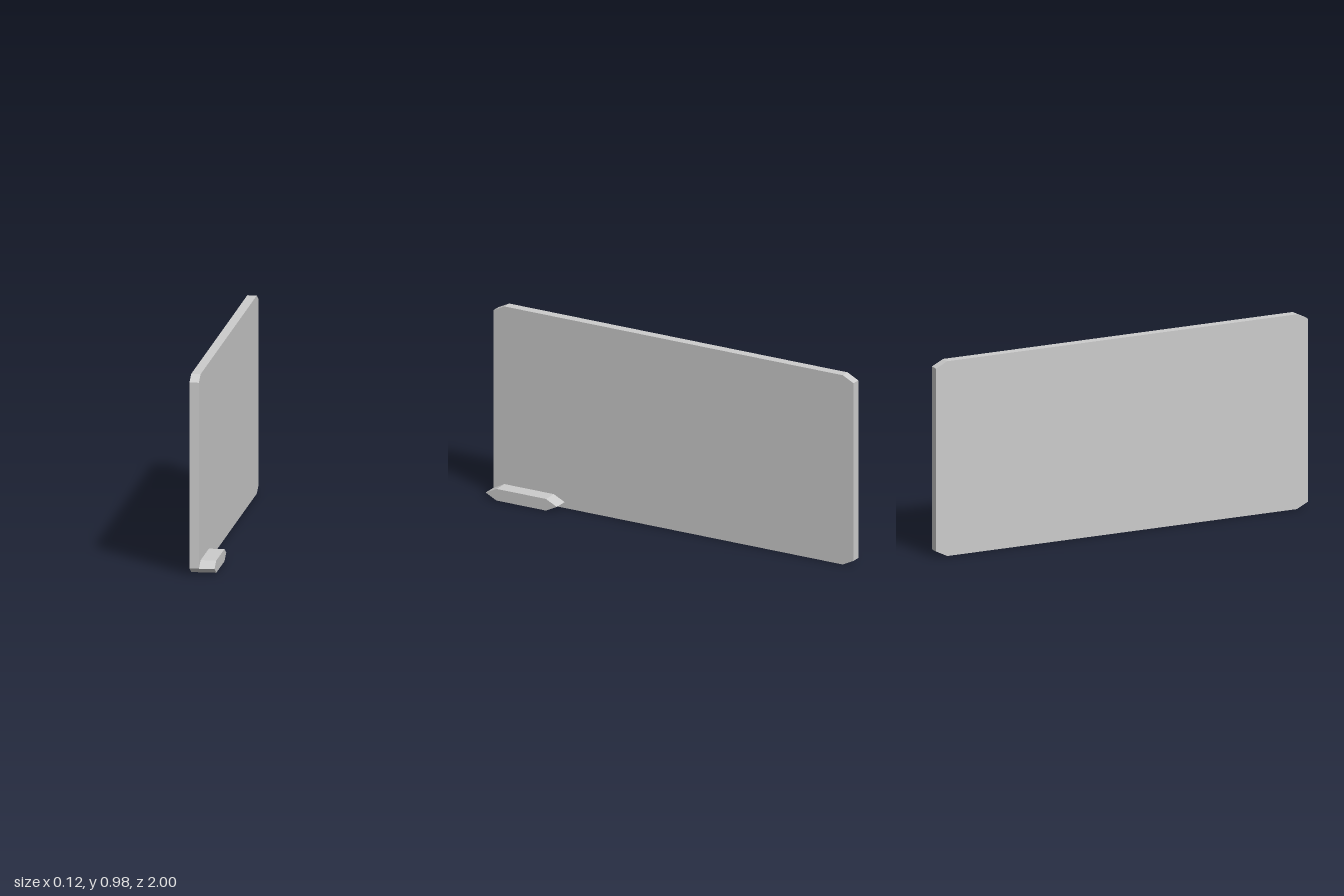
import * as THREE from 'three';

const material = new THREE.MeshStandardMaterial({ color: 0xcccccc, flatShading: true });

// Slab with four chamfered corners, outlined in the z-y plane and extruded along x
function chamferedSlab(name, x0, x1, height, z0, z1, cutZ = 0.06, cutY = 0.03) {
  const h = (z1 - z0) / 2;
  const outline = [
    [-h + cutZ, 0], [h - cutZ, 0], [h, cutY], [h, height - cutY],
    [h - cutZ, height], [-h + cutZ, height], [-h, height - cutY], [-h, cutY],
  ].map(([z, y]) => new THREE.Vector2(z, y))
    .filter((p, i, all) => i === 0 || p.distanceTo(all[i - 1]) > 1e-6);
  // A slab only two cuts high comes to a point at each end
  const end = outline[outline.length - 1];
  if (end.distanceTo(outline[0]) < 1e-6) outline.pop();

  const geometry = new THREE.ExtrudeGeometry(new THREE.Shape(outline), {
    depth: x1 - x0, bevelEnabled: false,
  });
  geometry.rotateY(Math.PI / 2);
  geometry.translate(x0, 0, (z0 + z1) / 2);
  const mesh = new THREE.Mesh(geometry, material);
  mesh.name = name;
  return mesh;
}

export function createModel() {
  const group = new THREE.Group();
  group.name = 'panelWithFoot';
  // Upright panel
  group.add(chamferedSlab('panel', -0.061, -0.015, 0.975, -1, 1));
  // Small foot at the lower front corner
  group.add(chamferedSlab('foot', -0.015, 0.061, 0.06, 0.605, 1));
  return group;
}
